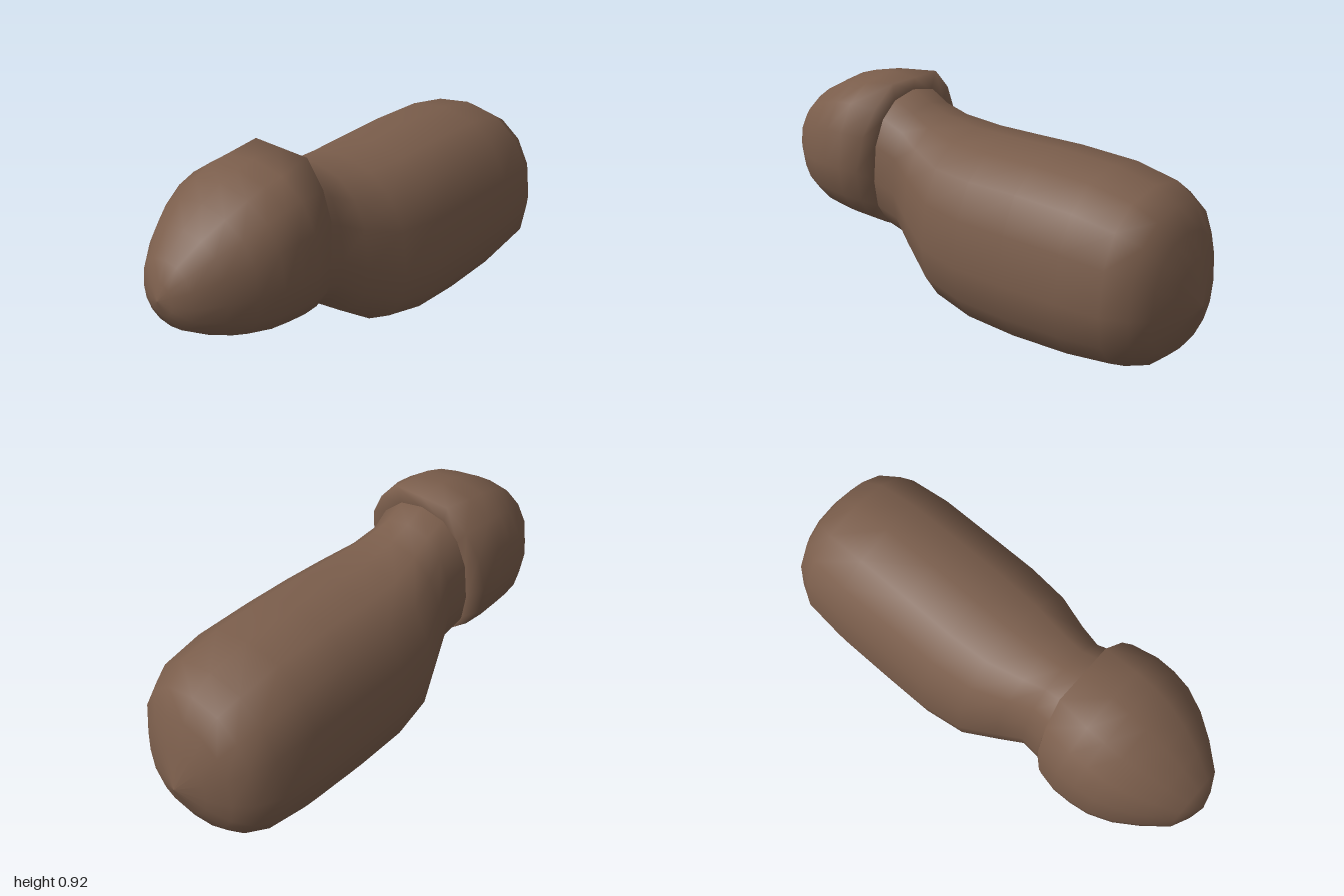
import * as THREE from 'three';

const SIDES = 16;
const brown = new THREE.MeshStandardMaterial({ color: 0x7a5d4b });
brown.name = 'brown';

// Skins rounded cross-sections along x: [x, bottom, top, halfWidth, lip]
// lip pushes the upper part of a section towards +x.
function loft(name, stations, power, widest) {
  const pos = [], index = [];
  const round = (v) => Math.sign(v) * Math.pow(Math.abs(v), power);
  for (const [x, bottom, top, half, lip = 0] of stations) {
    const mid = bottom + widest * (top - bottom);
    for (let j = 0; j < SIDES; j++) {
      const a = (j / SIDES) * Math.PI * 2;
      const c = Math.abs(Math.cos(a)) < 1e-6 ? 0 : round(Math.cos(a));
      const s = Math.abs(Math.sin(a)) < 1e-6 ? 0 : round(Math.sin(a));
      // a lipped section has a flat top
      const up = lip && c > 0.9 ? 1 : c;
      pos.push(x + lip * Math.max(0, up), mid + up * (up > 0 ? top - mid : mid - bottom), s * half);
    }
  }
  for (let i = 0; i < stations.length - 1; i++) {
    for (let j = 0; j < SIDES; j++) {
      const k = (j + 1) % SIDES;
      const a = i * SIDES + j, b = i * SIDES + k;
      index.push(a, b, a + SIDES, b, b + SIDES, a + SIDES);
    }
  }
  const geo = new THREE.BufferGeometry();
  geo.setAttribute('position', new THREE.Float32BufferAttribute(pos, 3));
  geo.setIndex(index);
  geo.computeVertexNormals();
  const mesh = new THREE.Mesh(geo, brown);
  mesh.name = name;
  return mesh;
}

export function createModel() {
  const group = new THREE.Group();
  group.name = 'model';

  // Long rounded body, narrowing to a neck that runs inside the head
  group.add(loft('body', [
    [-0.46, 0.31, 0.85, 0.23],
    [-0.38, 0.27, 0.86, 0.245],
    [-0.30, 0.24, 0.82, 0.23],
    [-0.20, 0.155, 0.785, 0.27],
    [-0.05, 0.05, 0.765, 0.335],
    [0.13, 0.01, 0.765, 0.357],
    [0.35, 0.0, 0.77, 0.357],
    [0.60, 0.015, 0.76, 0.357],
    [0.78, 0.04, 0.725, 0.34],
    [0.87, 0.07, 0.67, 0.29],
    [0.92, 0.12, 0.58, 0.22],
    [0.96, 0.2, 0.47, 0.13],
    [1.0, 0.315, 0.315, 0],
  ], 0.86, 0.43));

  // Egg-shaped head with an overhanging lip at the top of its back edge
  group.add(loft('head', [
    [-1.0, 0.55, 0.55, 0],
    [-0.985, 0.49, 0.62, 0.06],
    [-0.95, 0.425, 0.69, 0.13],
    [-0.86, 0.37, 0.775, 0.205],
    [-0.77, 0.33, 0.835, 0.265],
    [-0.68, 0.31, 0.88, 0.303],
    [-0.60, 0.3, 0.905, 0.315],
    [-0.52, 0.29, 0.915, 0.316],
    [-0.44, 0.278, 0.911, 0.295, 0.06],
    [-0.39, 0.272, 0.85, 0.245],
    [-0.42, 0.56, 0.56, 0],
  ], 0.86, 0.45));

  return group;
}
